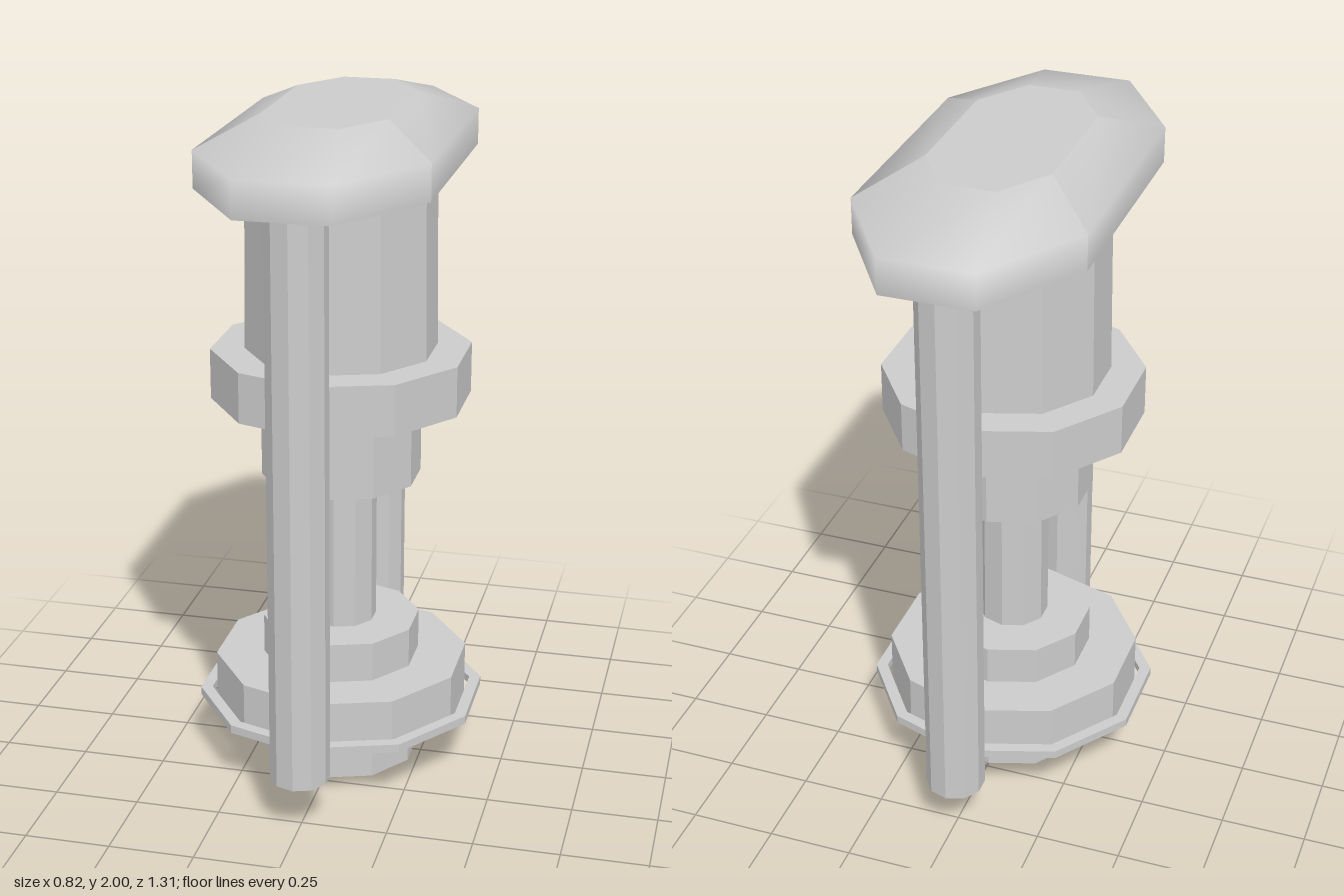
import * as THREE from 'three';

const SIDES = 10;

export function createModel() {
  const group = new THREE.Group();
  const flat = new THREE.MeshStandardMaterial({ color: 0xcccccc, flatShading: true });
  const smooth = new THREE.MeshStandardMaterial({ color: 0xcccccc });

  const add = (name, geometry, material, parent = group) => {
    const mesh = new THREE.Mesh(geometry, material);
    mesh.name = name;
    parent.add(mesh);
    return mesh;
  };
  // Ten-sided turned part from [radius, height] pairs
  const turned = (name, profile) => add(name,
    new THREE.LatheGeometry(profile.map(([r, y]) => new THREE.Vector2(r, y)), SIDES), flat);

  // Lower housing: hollow foot, wide flange and collar
  turned('lowerHousing', [
    [0, 0.41], [0.21, 0.41], [0.21, 0], [0.235, 0], [0.235, 0.16], [0.38, 0.16],
    [0.38, 0.32], [0.235, 0.32], [0.235, 0.44], [0, 0.44],
  ]);

  // Thin ring just outside the lower flange
  turned('outerRing', [
    [0.395, 0.205], [0.395, 0.18], [0.43, 0.18], [0.43, 0.205], [0.395, 0.205],
  ]);

  // Central shaft between the housings
  turned('shaft', [[0.105, 0.43], [0.105, 0.91]]);

  // Upper housing: collar, flange and slightly tapered barrel
  turned('upperHousing', [
    [0, 0.9], [0.235, 0.9], [0.235, 1.14], [0.38, 1.14], [0.38, 1.29],
    [0.28, 1.29], [0.273, 1.82],
  ]);

  // Hollow pillars at front and back
  for (const [name, z] of [['frontPillar', 0.515], ['backPillar', -0.515]]) {
    turned(name, [
      [0.075, 1.82], [0.075, 0.16], [0.086, 0.16], [0.086, 1.82],
    ]).position.z = z;
  }

  // Cap: eight-sided outline with bevelled, rounded shading
  const cap = new THREE.Group();
  cap.name = 'cap';
  group.add(cap);
  // Mirrors one quarter's two corners into a full outline, running from +z to +x
  const outline = (endX, endZ, sideX, sideZ) => [
    [endX, endZ], [sideX, sideZ], [sideX, -sideZ], [endX, -endZ],
    [-endX, -endZ], [-sideX, -sideZ], [-sideX, sideZ], [-endX, endZ],
  ];
  const rim = outline(0.132, 0.656, 0.325, 0.358);
  const crown = outline(0.075, 0.352, 0.177, 0.2);
  const rows = [[rim, 1.82], [rim, 1.925], [crown, 2]];

  // Strip of wall and bevel through the given outline corners
  const strip = (corners) => {
    const position = [], index = [];
    for (const [points, y] of rows) {
      for (const c of corners) position.push(points[c][0], y, points[c][1]);
    }
    const n = corners.length;
    for (let r = 0; r < rows.length - 1; r++) {
      for (let i = 0; i < n - 1; i++) {
        const a = r * n + i;
        index.push(a, a + 1, a + n + 1, a, a + n + 1, a + n);
      }
    }
    const geometry = new THREE.BufferGeometry();
    geometry.setAttribute('position', new THREE.Float32BufferAttribute(position, 3));
    geometry.setIndex(index);
    geometry.computeVertexNormals();
    return geometry;
  };
  add('capFrontEnd', strip([6, 7, 0, 1]), smooth, cap);
  add('capLeftSide', strip([1, 2]), smooth, cap);
  add('capBackEnd', strip([2, 3, 4, 5]), smooth, cap);
  add('capRightSide', strip([5, 6]), smooth, cap);

  // Flat top and underside of the cap
  const face = (points) => new THREE.ShapeGeometry(
    new THREE.Shape(points.map(([x, z]) => new THREE.Vector2(x, z))));
  add('capTop', face(crown).rotateX(-Math.PI / 2).translate(0, 2, 0), smooth, cap);
  add('capUnderside', face(rim).rotateX(Math.PI / 2).translate(0, 1.82, 0), smooth, cap);

  return group;
}
